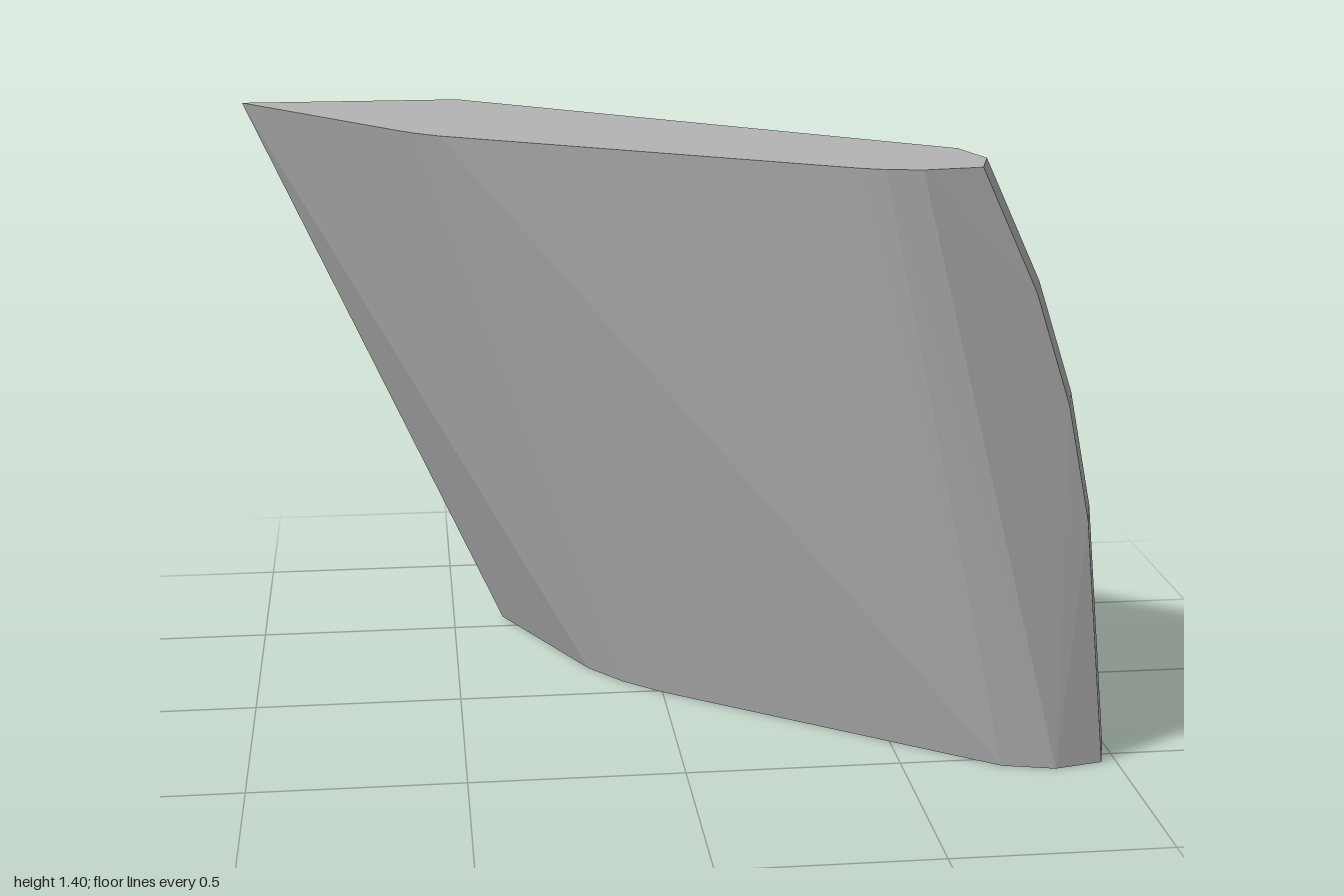
import * as THREE from 'three';
import { ConvexGeometry } from 'three/addons/geometries/ConvexGeometry.js';

export function createModel() {
  const group = new THREE.Group();
  const stone = new THREE.MeshStandardMaterial({ color: 0xb4b4b4 });
  stone.name = 'light grey';

  const points = [];
  const addRing = (y, ring) => ring.forEach(([x, z]) => points.push(new THREE.Vector3(x, y, z)));

  // leaning front wall: straight between the top and bottom outlines
  addRing(1.4, [[-1, -0.57], [-0.63, -0.11], [-0.58, -0.05], [-0.52, 0], [0.37, 0.53], [0.42, 0.55], [0.5, 0.565]]);
  addRing(0, [[-0.37, -0.57], [-0.17, -0.17], [-0.09, -0.07], [0, 0.01], [0.73, 0.54], [0.85, 0.57]]);

  // bowed rear wall and rounded nose: height, rear corner x, nose tip x
  const bow = [
    [1.4, -0.46, 0.67], [1.12, -0.27, 0.8], [0.86, -0.15, 0.885],
    [0.59, -0.05, 0.94], [0, 0.04, 1],
  ];
  for (const [y, rear, tip] of bow) {
    addRing(y, [[rear, -0.57], [tip - 0.035, 0.3], [tip, 0.43], [tip - 0.035, 0.545]]);
  }

  const block = new THREE.Mesh(new ConvexGeometry(points), stone);
  block.name = 'slantedBlock';
  group.add(block);
  return group;
}
